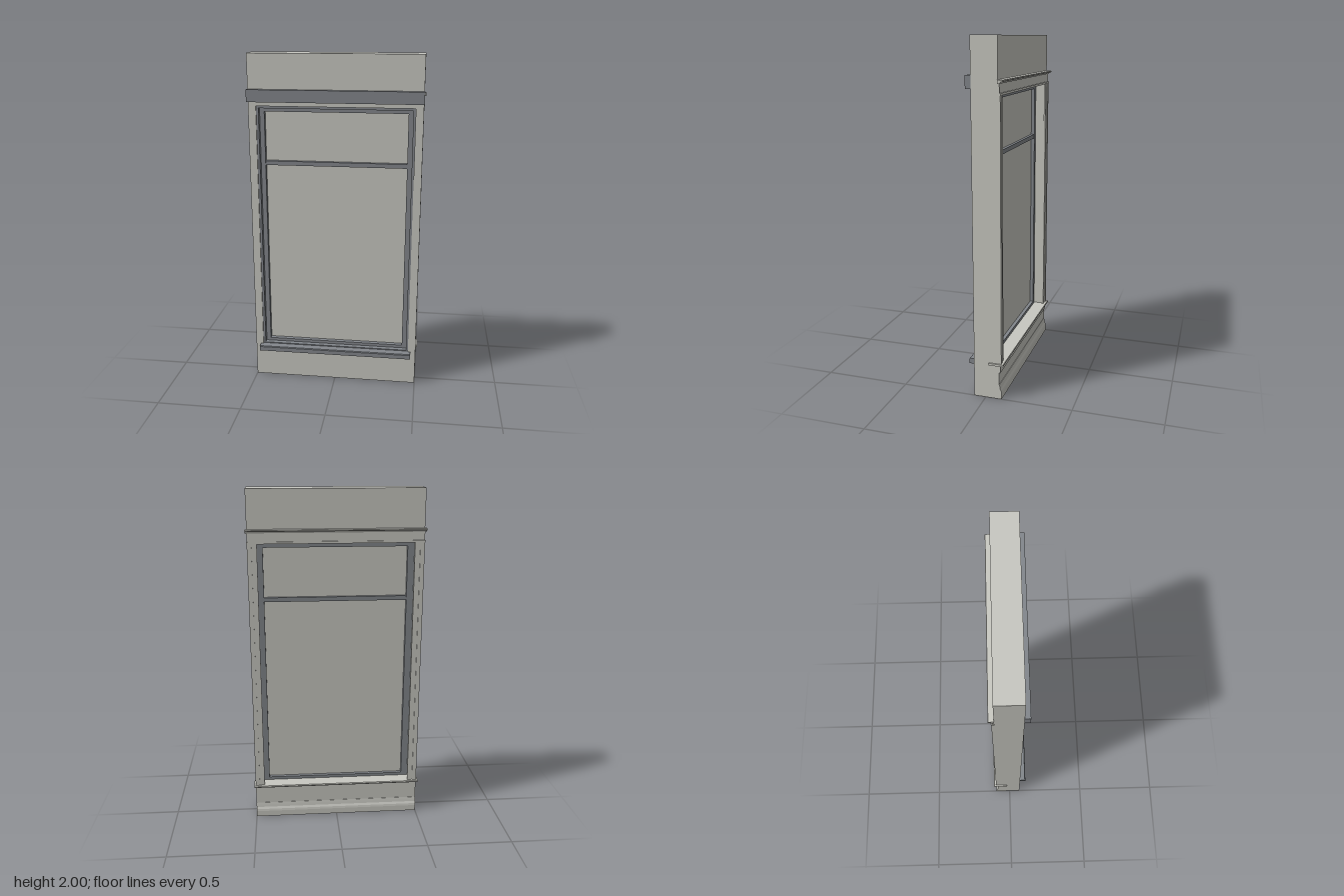
import * as THREE from 'three';

const wallMat = new THREE.MeshStandardMaterial({ color: 0xc8c8c1 });
wallMat.name = 'warm grey plaster';
const frameMat = new THREE.MeshStandardMaterial({ color: 0x83878c });
frameMat.name = 'slate grey frame';

export function createModel() {
  const model = new THREE.Group();
  model.name = 'windowWallPanel';

  const add = (name, geometry, material) => {
    const mesh = new THREE.Mesh(geometry, material);
    mesh.name = name;
    model.add(mesh);
    return mesh;
  };

  // Box given by its extents on each axis
  const box = (name, mat, [x0, x1], [y0, y1], [z0, z1]) =>
    add(name, new THREE.BoxGeometry(x1 - x0, y1 - y0, z1 - z0), mat)
      .position.set((x0 + x1) / 2, (y0 + y1) / 2, (z0 + z1) / 2);

  const trace = (path, x, y0, y1) =>
    path.moveTo(-x, y0).lineTo(x, y0).lineTo(x, y1).lineTo(-x, y1).closePath();

  // Rectangular ring facing z: outer and inner are [half width, bottom, top]
  const ring = (name, mat, outer, inner, z0, z1) => {
    const shape = new THREE.Shape();
    trace(shape, ...outer);
    const hole = new THREE.Path();
    trace(hole, ...inner);
    shape.holes.push(hole);
    const geo = new THREE.ExtrudeGeometry(shape, { depth: z1 - z0, bevelEnabled: false });
    add(name, geo.translate(0, 0, z0), mat);
  };

  // Moulding along x; profile points are [z, y]
  const moulding = (name, mat, points, half) => {
    const shape = new THREE.Shape(points.map(([z, y]) => new THREE.Vector2(-z, y)));
    const geo = new THREE.ExtrudeGeometry(shape, { depth: half * 2, bevelEnabled: false });
    add(name, geo.translate(0, 0, -half).rotateY(Math.PI / 2), mat);
  };

  // Wall with window opening
  ring('wall', wallMat, [0.5, 0, 2], [0.455, 0.21, 1.705], -0.08, 0.068);

  // Window frame, stepped towards the pane
  ring('outerFrame', frameMat, [0.455, 0.21, 1.705], [0.442, 0.217, 1.692], -0.02, 0.06);
  ring('sash', frameMat, [0.442, 0.217, 1.692], [0.415, 0.235, 1.67], -0.025, 0.03);
  box('transom', frameMat, [-0.415, 0.415], [1.355, 1.38], [-0.022, 0.028]);
  box('pane', wallMat, [-0.415, 0.415], [0.235, 1.67], [-0.004, 0.004]);

  // Front lintel and sill
  box('lintel', frameMat, [-0.503, 0.503], [1.73, 1.8], [0.066, 0.097]);
  moulding('frontSill', frameMat,
    [[0.04, 0.18], [0.108, 0.18], [0.108, 0.206], [0.104, 0.211], [0.04, 0.212]], 0.47);

  // Back side casings, each a board with a raised outer band
  for (const side of [-1, 1]) {
    const span = (a, b) => (side > 0 ? [a, b] : [-b, -a]);
    box('sideCasing', wallMat, span(0.445, 0.5), [0.21, 1.705], [-0.088, -0.078]);
    box('casingBand', wallMat, span(0.475, 0.5), [0.21, 1.705], [-0.093, -0.078]);
  }

  // Back head casing and cap ledge
  box('headCasing', wallMat, [-0.5, 0.5], [1.7, 1.765], [-0.088, -0.078]);
  box('headBead', wallMat, [-0.503, 0.503], [1.7, 1.712], [-0.095, -0.078]);
  moulding('headCap', wallMat,
    [[-0.078, 1.76], [-0.092, 1.76], [-0.097, 1.768], [-0.107, 1.769],
      [-0.109, 1.774], [-0.107, 1.779], [-0.078, 1.78]], 0.509);

  // Back stool and apron
  moulding('stool', wallMat,
    [[-0.02, 0.203], [-0.104, 0.203], [-0.107, 0.209], [-0.104, 0.215], [-0.02, 0.215]], 0.509);
  box('apron', wallMat, [-0.5, 0.5], [0.16, 0.204], [-0.087, -0.078]);

  // Skirting with a curved top edge
  moulding('skirting', wallMat,
    [[-0.078, 0], [-0.094, 0], [-0.094, 0.035], [-0.092, 0.048], [-0.086, 0.06],
      [-0.084, 0.075], [-0.082, 0.088], [-0.078, 0.088]], 0.5);

  return model;
}
